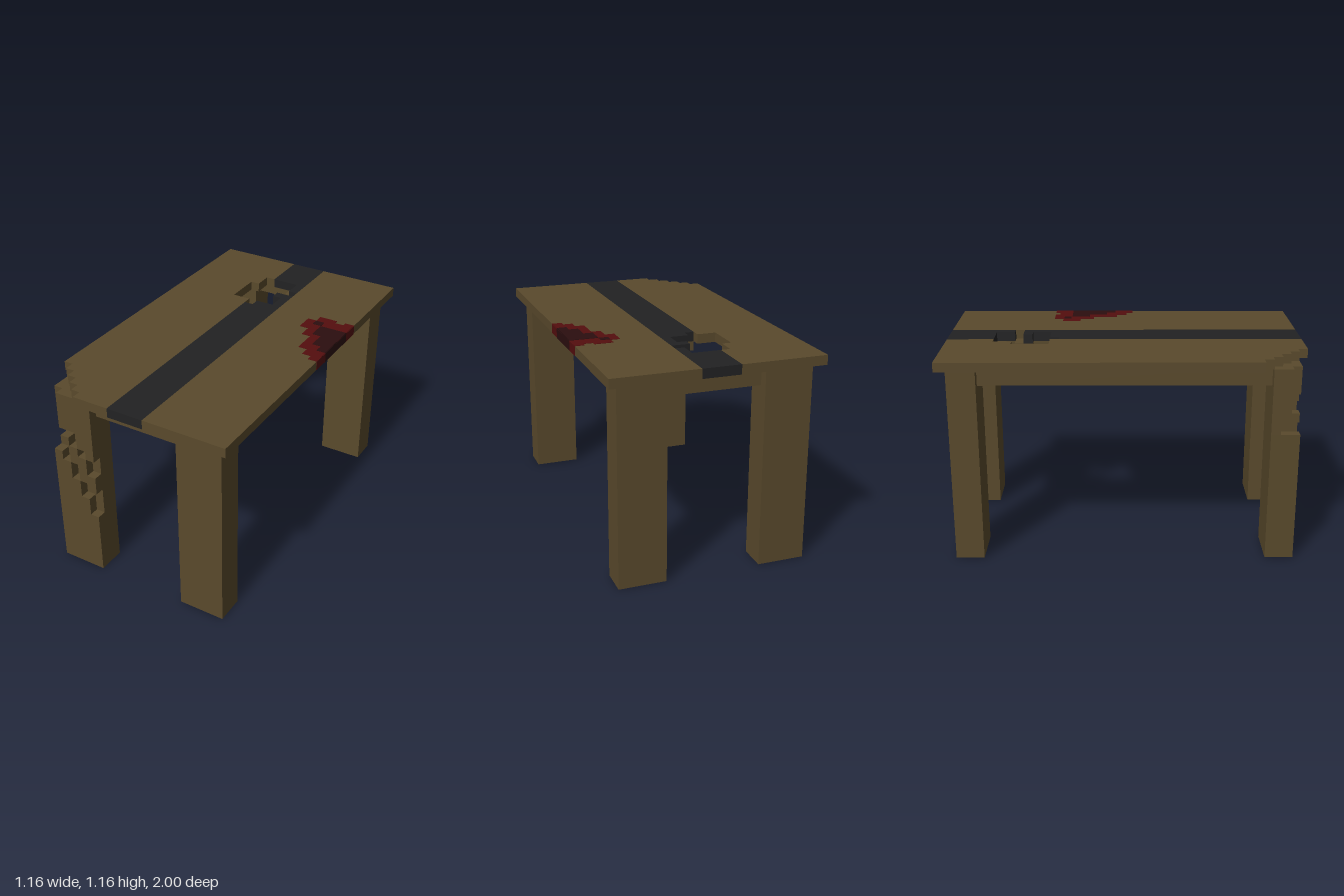
import * as THREE from 'three';

const U = 1 / 19; // one block of the grid

export function createModel() {
  const mat = (name, color) => {
    const m = new THREE.MeshStandardMaterial({ color });
    m.name = name;
    return m;
  };
  const wood = mat('brown wood', 0x5a4a2c);
  const band = mat('charcoal stripe', 0x222223);
  const red = mat('red stain', 0x540e0e);
  const dark = mat('dark red stain', 0x2b0e0f);

  const root = new THREE.Group();
  root.name = 'table';
  const group = (name, parent = root) => {
    const g = new THREE.Group();
    g.name = name;
    parent.add(g);
    return g;
  };

  // Box from min and max corners, in blocks
  const box = (name, parent, m, x0, x1, y0, y1, z0, z1) => {
    const mesh = new THREE.Mesh(new THREE.BoxGeometry((x1 - x0) * U, (y1 - y0) * U, (z1 - z0) * U), m);
    mesh.position.set((x0 + x1) / 2 * U, (y0 + y1) / 2 * U, (z0 + z1) / 2 * U);
    mesh.name = name;
    parent.add(mesh);
  };

  // Flat slab from an (x, z) outline, in blocks
  const slab = (name, parent, m, points, y0, y1) => {
    const shape = new THREE.Shape(points.map(([x, z]) => new THREE.Vector2(x * U, -z * U)));
    const geo = new THREE.ExtrudeGeometry(shape, { depth: (y1 - y0) * U, bevelEnabled: false });
    geo.rotateX(-Math.PI / 2);
    const mesh = new THREE.Mesh(geo, m);
    mesh.position.y = y0 * U;
    mesh.name = name;
    parent.add(mesh);
  };

  // Table top: broken front corner, ragged hole, centre stripe
  const top = group('tableTop');
  slab('topPlankRight', top, wood, [
    [-11, -19], [-2, -19], [-2, -14], [-3, -14], [-3, -12], [-4, -12], [-4, -8], [-2, -8],
    [-2, 19], [-6, 19], [-6, 18], [-7, 18], [-7, 17], [-8, 17], [-8, 16], [-9, 16],
    [-9, 15], [-10, 15], [-10, 14], [-11, 14],
  ], 21, 22);
  slab('topPlankLeft', top, wood, [[2, -19], [11, -19], [11, 19], [2, 19]], 21, 22);
  slab('stripeBack', top, band, [
    [-2, -19], [2, -19], [2, -12], [1, -12], [1, -14], [-2, -14],
  ], 21, 22);
  slab('stripeFront', top, band, [
    [0, -11], [2, -11], [2, 19], [-2, 19], [-2, -7], [-1, -7], [-1, -8], [1, -8], [1, -10], [0, -10],
  ], 21, 22);

  // Three sound legs
  for (const [sx, sz] of [[1, 1], [1, -1], [-1, -1]]) {
    const x = sx > 0 ? 5 : -10, z = sz > 0 ? 15 : -18;
    box(sz > 0 ? 'frontLeg' : 'backLeg', root, wood, x, x + 5, 0, 21, z, z + 3);
  }

  // Cracked leg: each column lists its gouges as [bottom, top, depth]
  const cracked = group('crackedFrontLeg');
  const gouges = [
    [[14, 16, 2], [16, 21, 1]],
    [[13, 15, 1], [16, 18, 1]],
    [[11, 13, 1], [15, 17, 1]],
    [[9, 11, 1], [14, 15, 1]],
    [[7, 10, 1], [12, 14, 1]],
  ];
  gouges.forEach((cuts, i) => {
    const x = -10 + i;
    let y = 0;
    for (const [y0, y1, d] of cuts) {
      if (y0 > y) box('legBlock', cracked, wood, x, x + 1, y, y0, 15, 18);
      box('gougedBlock', cracked, wood, x, x + 1, y0, y1, 15, 18 - d);
      y = y1;
    }
    if (y < 21) box('legBlock', cracked, wood, x, x + 1, y, 21, 15, 18);
  });

  // Recessed aprons
  for (const s of [-1, 1]) {
    const a = s > 0 ? 8 : -9, b = s > 0 ? 16 : -17;
    box('sideApron', root, wood, a, a + 1, 19, 21, -15, 15);
    box('endApron', root, wood, -5, 5, 19, 21, b, b + 1);
  }

  // Centre beam under the top, broken through by the hole
  slab('centreBeam', root, wood, [
    [-2, -16], [2, -16], [2, 16], [-2, 16], [-2, -7], [-1, -7], [-1, -8], [1, -8], [1, -10],
    [0, -10], [0, -12], [1, -12], [1, -13], [0, -13], [0, -14], [-2, -14],
  ], 20, 21);

  // Stain on the top, over the edge and dripping down the apron
  const stain = group('stain');
  slab('stainTop', stain, red, [
    [7, -8], [9, -8], [9, -7.5], [10, -7.5], [10, -8], [11, -8], [11, 1], [10, 1], [10, 0.3],
    [9, 0.3], [9, -0.8], [8, -0.8], [8, -3.5], [7, -3.5], [7, -5], [6, -5], [6, -7], [7, -7],
  ], 22, 22.04);
  slab('stainTopDark', stain, dark, [
    [8, -6], [11, -6], [11, -1], [10, -1], [10, -2], [9, -2], [9, -4], [8, -4],
  ], 22, 22.08);
  slab('stainSpot', stain, dark, [[7, -6.9], [8, -6.9], [8, -6.1], [7, -6.1]], 22, 22.08);
  for (const [m, z0, z1] of [[red, -8, -6], [dark, -6, -1], [red, -1, 1]]) {
    box('stainEdge', stain, m, 11, 11.04, 21, 22, z0, z1);
  }
  for (const [m, y, z] of [
    [red, 20, -1], [red, 20, -3], [dark, 20, -7], [red, 19, 0], [dark, 19, -4], [red, 19, -7],
  ]) box('drip', stain, m, 9, 9.04, y, y + 1, z, z + 1);

  return root;
}
